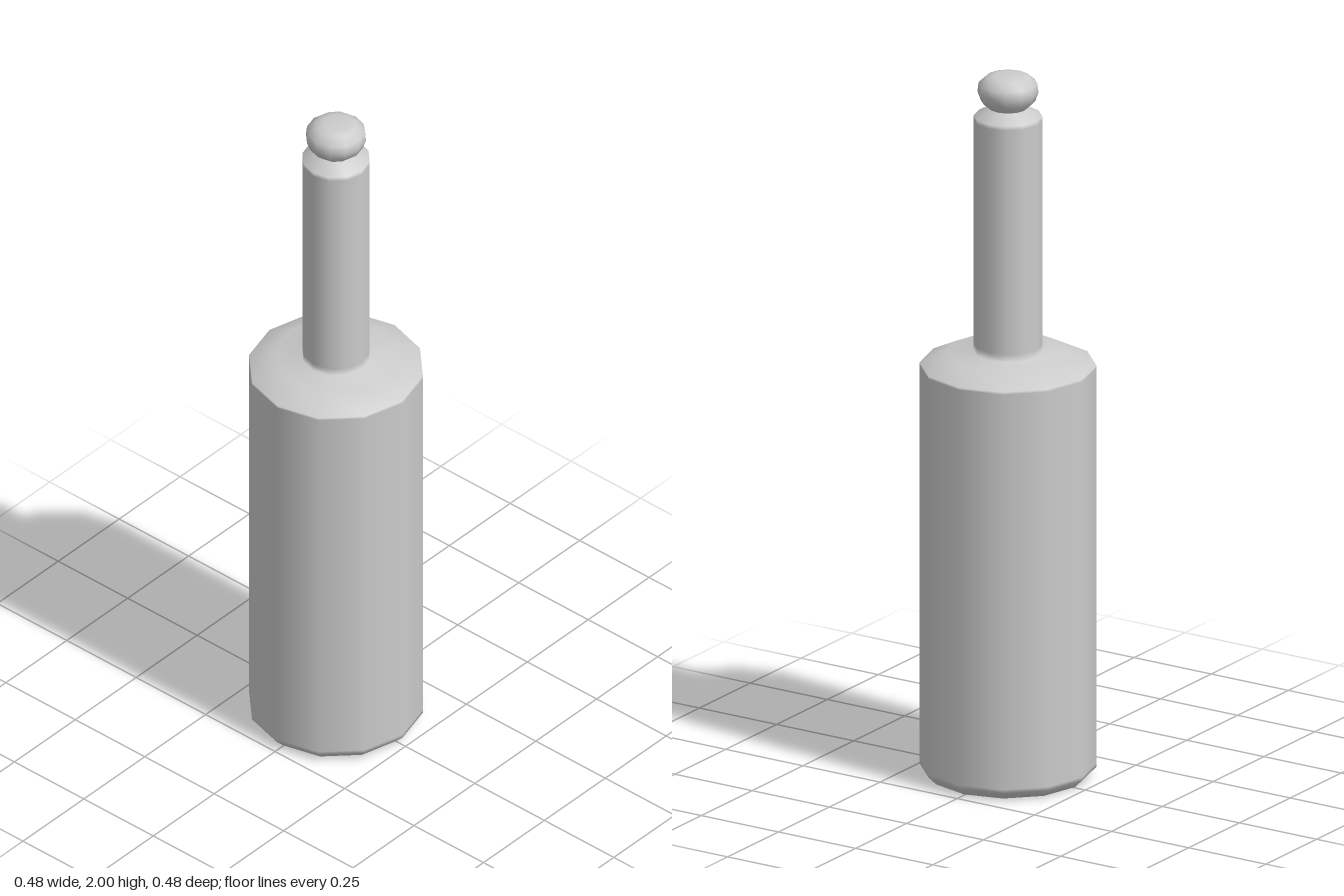
import * as THREE from 'three';

const SIDES = 12;

export function createModel() {
  const group = new THREE.Group();
  const material = new THREE.MeshStandardMaterial({ color: 0xcccccc });

  // Turns a [radius, height] profile, listed from bottom to top, around the y axis
  const turned = (name, profile) => {
    const points = profile.map(([r, y]) => new THREE.Vector2(r, y));
    const mesh = new THREE.Mesh(new THREE.LatheGeometry(points, SIDES), material);
    mesh.name = name;
    group.add(mesh);
  };

  // Thick handle with a chamfered base and shoulder, blending into the stem;
  // the close pairs of rings keep the long walls evenly shaded
  turned('handle', [
    [0, 0], [0.205, 0], [0.218, 0.003], [0.24, 0.025], [0.24, 0.035],
    [0.24, 1.165], [0.24, 1.172], [0.165, 1.208], [0.093, 1.208], [0.093, 1.23],
  ]);

  // Slim stem with a bevelled top
  turned('stem', [
    [0.093, 1.23], [0.093, 1.87], [0.093, 1.882], [0.052, 1.905],
  ]);

  // Rounded knob on a narrow neck
  turned('knob', [
    [0.052, 1.905], [0.074, 1.925], [0.083, 1.95], [0.08, 1.975],
    [0.058, 1.994], [0.035, 2], [0, 2],
  ]);

  return group;
}
